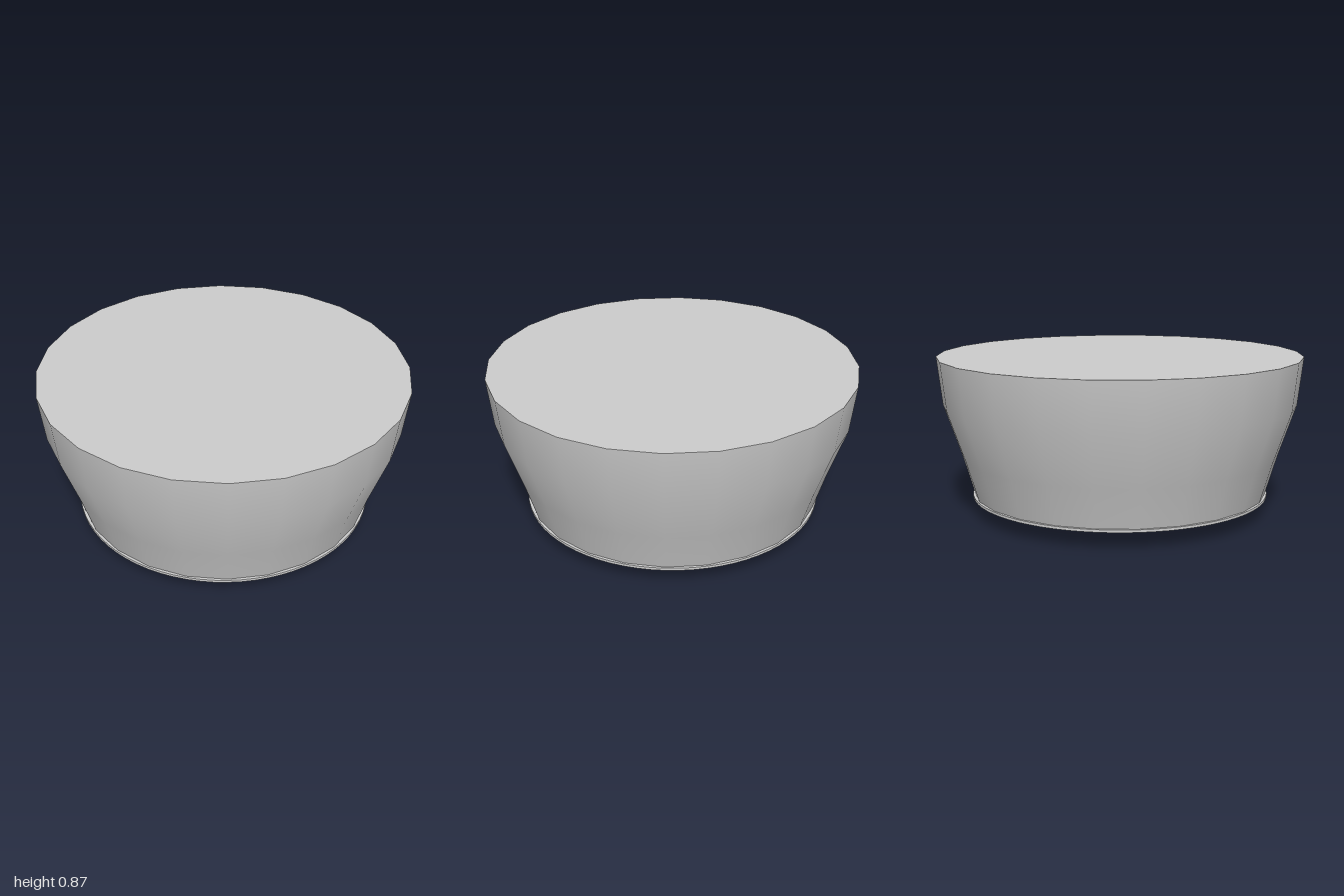
import * as THREE from 'three';

const grey = new THREE.MeshStandardMaterial({ color: 0xcccccc });
grey.name = 'light grey';

const BASE_R = 0.82, DIMPLE_R = 0.11, DIMPLE_DEPTH = 0.09;

// Surface of revolution from [radius, height] pairs, listed bottom to top
function turned(name, points, sides) {
  const profile = points.map(([r, y]) => new THREE.Vector2(r, y));
  const mesh = new THREE.Mesh(new THREE.LatheGeometry(profile, sides), grey);
  mesh.name = name;
  return mesh;
}

export function createModel() {
  const group = new THREE.Group();
  group.name = 'roundPuck';

  // Flared body with 24 sides and a flat lid
  group.add(turned('body', [[0.81, 0.1], [0.875, 0.32], [0.97, 0.6], [1, 0.865]], 24));
  const lid = new THREE.Mesh(new THREE.CircleGeometry(1, 24).rotateX(-Math.PI / 2), grey);
  lid.name = 'lid';
  lid.position.y = 0.865;
  group.add(lid);

  // Rounded dimple in the middle of the underside
  const dimple = [];
  for (let i = 0; i <= 10; i++) {
    const a = (i / 10) * Math.PI / 2;
    dimple.push([DIMPLE_R * Math.sin(a), DIMPLE_DEPTH * Math.cos(a)]);
  }
  group.add(turned('dimple', dimple, 48));

  // Shallow domed underside around the dimple
  const dome = [];
  for (let i = 0; i <= 12; i++) {
    const r = DIMPLE_R + (BASE_R - DIMPLE_R) * i / 12;
    dome.push([r, 0.09 * (r * r - DIMPLE_R ** 2) / (BASE_R ** 2 - DIMPLE_R ** 2)]);
  }
  group.add(turned('domedBase', dome, 72));

  // Thin lip where the base meets the body
  group.add(turned('lipEdge', [[BASE_R, 0.09], [BASE_R, 0.104]], 72));
  group.add(turned('lipTop', [[BASE_R, 0.104], [0.77, 0.104]], 72));

  return group;
}
